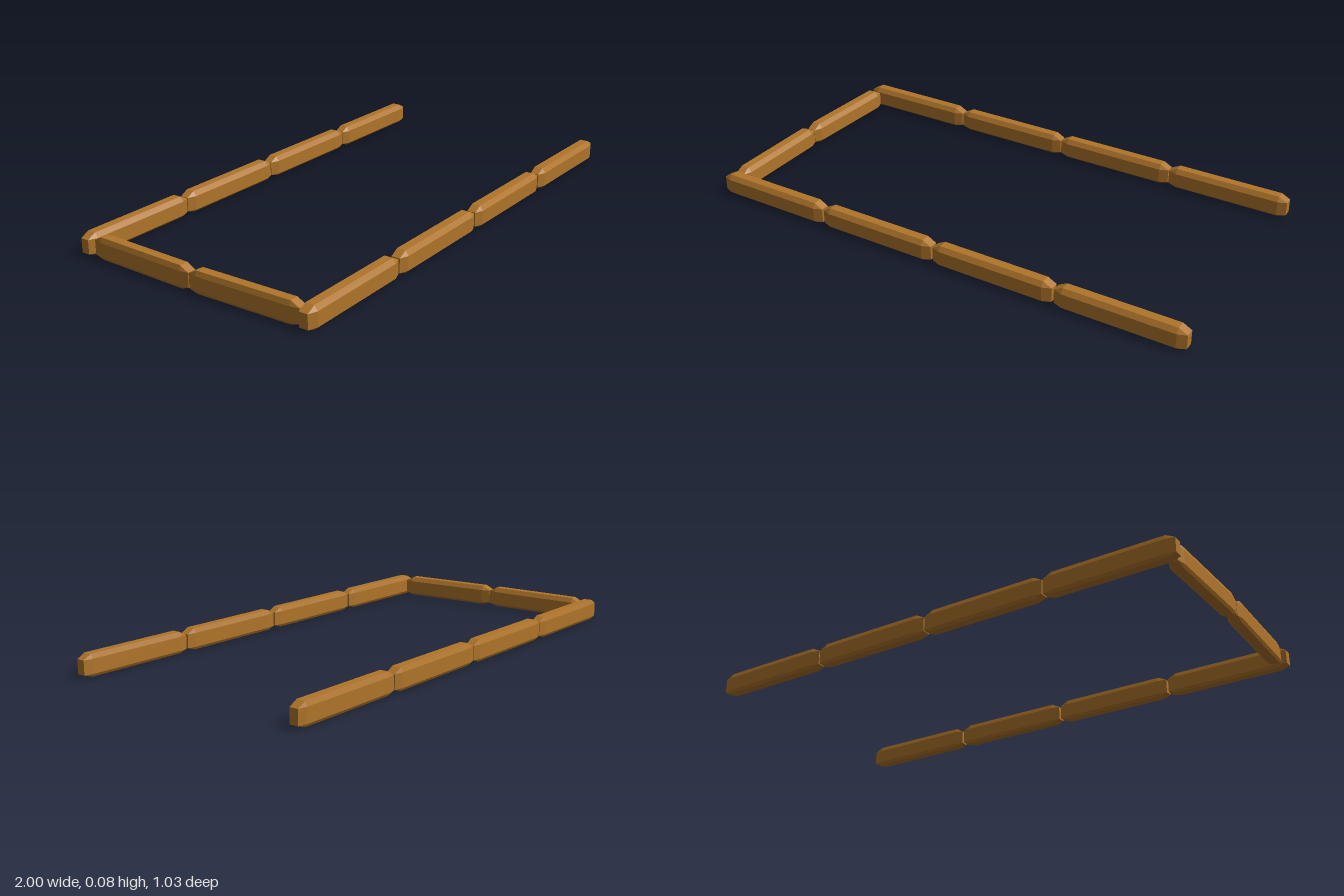
import * as THREE from 'three';
import { ConvexGeometry } from 'three/addons/geometries/ConvexGeometry.js';

const HEIGHT = 0.084;
const HALF_WIDTH = 0.027;

// Bar lying along x, with uneven chamfers on all of its edges
function beamGeometry(length) {
  const points = [];
  for (const sx of [-1, 1]) {
    for (const top of [false, true]) {
      for (const sz of [-1, 1]) {
        const x = sx * length / 2, xi = sx * (length / 2 - 0.034);
        const y = top ? HEIGHT : 0, yi = top ? HEIGHT - 0.018 : 0.011;
        const z = sz * HALF_WIDTH, zi = sz > 0 ? HALF_WIDTH - 0.013 : 0.007 - HALF_WIDTH;
        points.push(
          new THREE.Vector3(x, yi, zi),
          new THREE.Vector3(xi, y, zi),
          new THREE.Vector3(xi, yi, z)
        );
      }
    }
  }
  return new ConvexGeometry(points);
}

export function createModel() {
  const group = new THREE.Group();
  const wood = new THREE.MeshStandardMaterial({ color: 0xb0752a });
  wood.name = 'brown wood';

  const addBeam = (name, geometry, x, z, turn = 0) => {
    const beam = new THREE.Mesh(geometry, wood);
    beam.name = name;
    beam.position.set(x, 0, z);
    beam.rotation.y = turn;
    group.add(beam);
  };

  // Two long rows of four beams
  const length = 0.494;
  const longBeam = beamGeometry(length);
  for (let i = 0; i < 4; i++) {
    addBeam('frontBeam' + (i + 1), longBeam, -1 + length / 2 + i * 0.502, 0.486);
    addBeam('backBeam' + (i + 1), longBeam, -1 + length / 2 + i * 0.4975, -0.486);
  }

  // Two slightly splayed beams closing the right end
  const endBeam = beamGeometry(0.454);
  for (const s of [-1, 1]) {
    addBeam(s > 0 ? 'endBeamFront' : 'endBeamBack', endBeam, -0.968, s * 0.228, Math.PI / 2 + s * 0.024);
  }
  return group;
}
